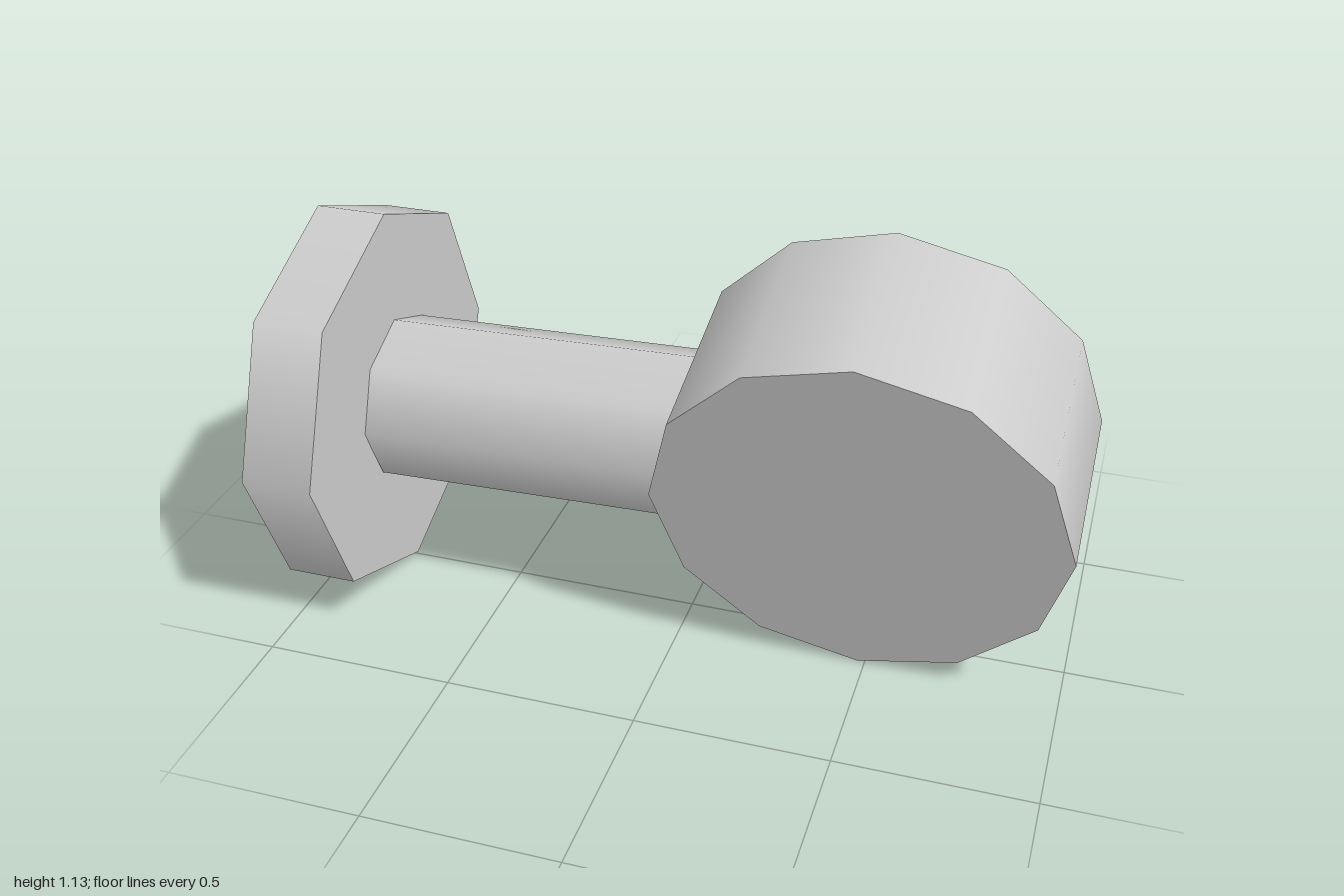
import * as THREE from 'three';

export function createModel() {
  const group = new THREE.Group();
  const grey = new THREE.MeshStandardMaterial({ color: 0xcccccc });
  grey.name = 'light grey';

  // Prism with smooth sides running from point a to point b
  function rod(name, a, b, radius, sides) {
    const axis = b.clone().sub(a);
    const mesh = new THREE.Mesh(
      new THREE.CylinderGeometry(radius, radius, axis.length(), sides), grey);
    mesh.name = name;
    mesh.position.copy(a).lerp(b, 0.5);
    mesh.quaternion.setFromUnitVectors(new THREE.Vector3(0, 1, 0), axis.normalize());
    group.add(mesh);
  }

  const plateFace = new THREE.Vector3(-0.815, 0.525, -0.003);
  const headCentre = new THREE.Vector3(0.48, 0.565, 0.01);

  // Octagonal mounting plate
  rod('mountingPlate', new THREE.Vector3(-1, 0.525, -0.003), plateFace, 0.52, 8);

  // Shaft rising slightly from the plate into the head
  rod('shaft', plateFace, plateFace.clone().lerp(headCentre, 0.75), 0.221, 8);

  // Twelve-sided head, its front tipped downwards
  const tilt = THREE.MathUtils.degToRad(15.1);
  const half = new THREE.Vector3(0, -Math.sin(tilt), Math.cos(tilt)).multiplyScalar(0.241);
  rod('head', headCentre.clone().sub(half), headCentre.clone().add(half), 0.519, 12);

  return group;
}
